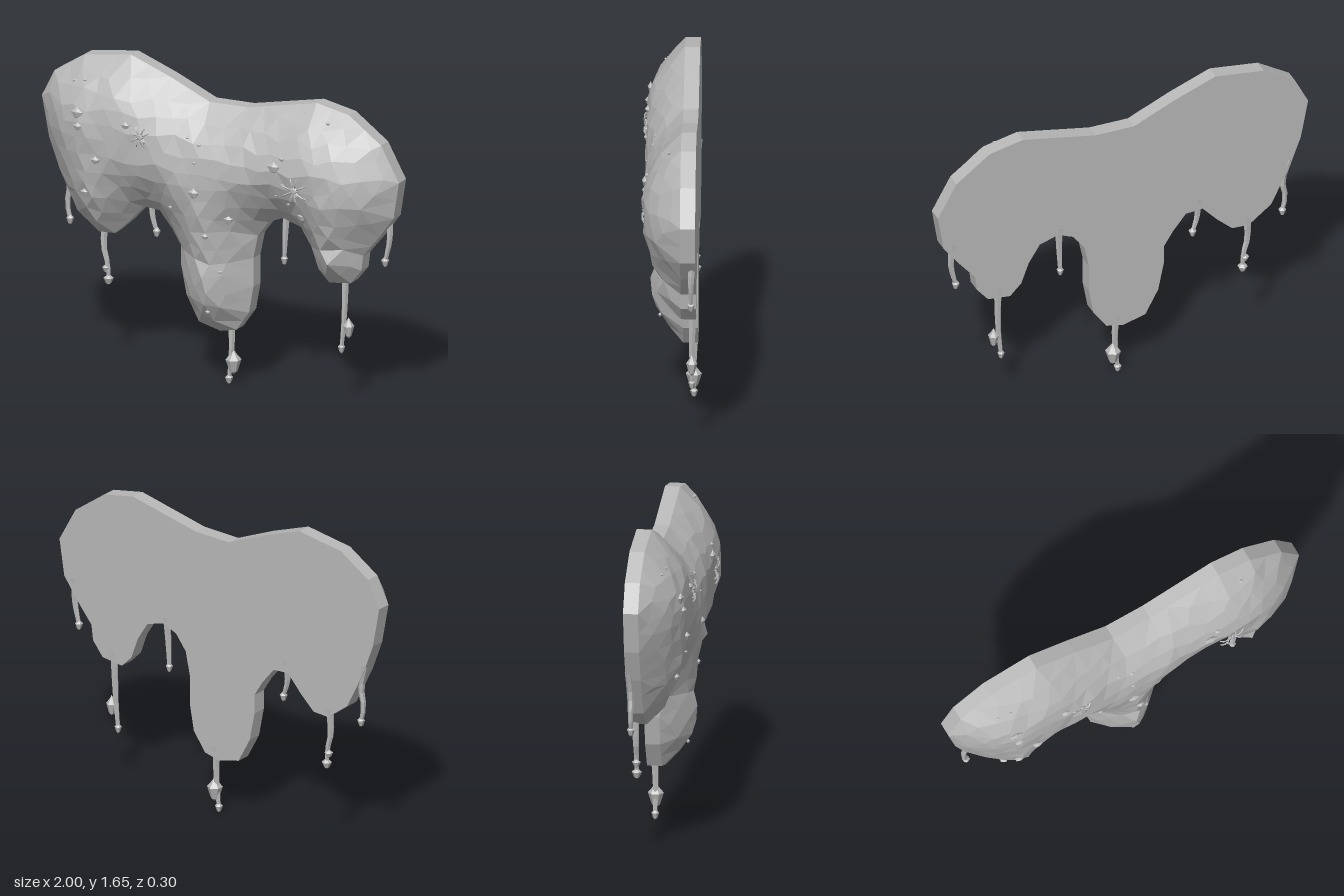
import * as THREE from 'three';

const moss = new THREE.MeshStandardMaterial({ color: 0xb8b8b8, flatShading: true });
moss.name = 'plain grey';

// Outline of the hanging clump, clockwise from the left
const outline = [
  [-1, 1.36], [-.93, 1.5], [-.76, 1.61], [-.5, 1.65], [-.28, 1.57], [-.06, 1.475], [.15, 1.48], [.54, 1.565],
  [.72, 1.53], [.9, 1.4], [1, 1.22], [.97, 1.03], [.89, .92], [.8, .81], [.79, .73], [.73, .655], [.61, .64],
  [.55, .7], [.51, .81], [.45, .905], [.35, .935], [.27, .9], [.21, .82], [.185, .7], [.185, .55], [.16, .41],
  [.09, .31], [0, .29], [-.12, .32], [-.19, .45], [-.22, .6], [-.22, .7], [-.27, .78], [-.34, .865], [-.43, .87],
  [-.51, .78], [-.59, .705], [-.68, .7], [-.8, .79], [-.9, .99], [-.96, 1.15],
].map(([x, y]) => new THREE.Vector2(x, y));
const BACK = -.14, RIM = -.065;

let seed = 7;
const rand = () => (seed = (seed * 16807) % 2147483647) / 2147483647 - .5;

// Signed distance to the outline, positive inside
function inset(x, y) {
  let best = 9, inside = false;
  outline.forEach((a, i) => {
    const b = outline[(i + 1) % outline.length];
    const dx = b.x - a.x, dy = b.y - a.y;
    const t = THREE.MathUtils.clamp(((x - a.x) * dx + (y - a.y) * dy) / (dx * dx + dy * dy), 0, 1);
    best = Math.min(best, Math.hypot(x - a.x - t * dx, y - a.y - t * dy));
    if ((a.y > y) !== (b.y > y) && x < a.x + dx * (y - a.y) / dy) inside = !inside;
  });
  return inside ? best : -best;
}
const surfaceZ = (x, y) => {
  const t = THREE.MathUtils.clamp(inset(x, y) / .33, 0, 1);
  return RIM + .19 * Math.sin(t * Math.PI / 2) ** .85;
};

// Delaunay triangulation by point insertion
function triangulate(pts) {
  const n = pts.length;
  const all = [...pts, { x: -20, y: -20 }, { x: 20, y: -20 }, { x: 0, y: 30 }];
  const make = (i, j, k) => {
    const a = all[i], b = all[j], c = all[k];
    const bx = b.x - a.x, by = b.y - a.y, cx = c.x - a.x, cy = c.y - a.y, d = 2 * (bx * cy - by * cx);
    if (Math.abs(d) < 1e-10) return { v: [i, j, k], x: 0, y: 0, r: 1e9 };
    const b2 = bx * bx + by * by, c2 = cx * cx + cy * cy;
    const ux = (cy * b2 - by * c2) / d, uy = (bx * c2 - cx * b2) / d;
    return { v: [i, j, k], x: a.x + ux, y: a.y + uy, r: ux * ux + uy * uy };
  };
  let tris = [make(n, n + 1, n + 2)];
  for (let p = 0; p < n; p++) {
    const edges = new Map();
    tris = tris.filter((t) => {
      if ((all[p].x - t.x) ** 2 + (all[p].y - t.y) ** 2 >= t.r) return true;
      t.v.forEach((i, k) => {
        const j = t.v[(k + 1) % 3];
        if (!edges.delete(j + '_' + i)) edges.set(i + '_' + j, [i, j]);
      });
      return false;
    });
    edges.forEach(([i, j]) => tris.push(make(i, j, p)));
  }
  return tris.map((t) => t.v).filter((v) => Math.max(...v) < n);
}

// Faceted swelling front
function frontGeometry() {
  const pts = [];
  outline.forEach((a, i) => {
    const b = outline[(i + 1) % outline.length], steps = Math.ceil(a.distanceTo(b) / .12);
    for (let s = 0; s < steps; s++) {
      const p = a.clone().lerp(b, s / steps);
      pts.push({ x: p.x + rand() * 1e-5, y: p.y + rand() * 1e-5, z: RIM });
    }
  });
  for (let row = 0; row < 18; row++) for (let col = 0; col < 24; col++) {
    const x = -1 + (col + (row % 2) / 2) * .088 + rand() * .035, y = .3 + row * .078 + rand() * .035;
    if (inset(x, y) > .035) pts.push({ x, y, z: surfaceZ(x, y) + rand() * .012 });
  }
  const index = triangulate(pts).filter((v) => {
    const [a, b, c] = v.map((i) => pts[i]);
    return inset((a.x + b.x + c.x) / 3, (a.y + b.y + c.y) / 3) > 0;
  }).flat();
  const g = new THREE.BufferGeometry();
  g.setAttribute('position', new THREE.Float32BufferAttribute(pts.flatMap((p) => [p.x, p.y, p.z]), 3));
  g.setIndex(index);
  g.computeVertexNormals();
  return g;
}

const budGeometry = new THREE.LatheGeometry(
  [[0, -1], [.5, -.75], [1, .2], [.45, .6], [0, 1]].map(([x, y]) => new THREE.Vector2(x, y)), 6);

export function createModel() {
  const model = new THREE.Group();
  model.name = 'hangingClump';
  const add = (parent, name, geometry) => {
    const m = new THREE.Mesh(geometry, moss);
    m.name = name;
    parent.add(m);
    return m;
  };
  const addBud = (parent, name, x, y, z, r, h = r) => {
    const b = add(parent, name, budGeometry);
    b.position.set(x, y, z);
    b.scale.set(r, h, r);
    return b;
  };

  // Flat backing slab and swelling front
  const slab = add(model, 'backSlab', new THREE.ExtrudeGeometry(new THREE.Shape(outline),
    { depth: RIM - BACK, bevelEnabled: false }));
  slab.position.z = BACK;
  add(model, 'swollenFront', frontGeometry());

  // Dangling roots: path points, tip radius, then an optional side bulb [x, y, r, h]
  const roots = [
    [[[-.9, 1.03], [-.87, .9], [-.885, .8], [-.87, .72]], .02],
    [[[-.68, .74], [-.68, .6], [-.66, .52], [-.655, .44]], .026, [-.667, .495, .022, .025]],
    [[[-.41, .93], [-.41, .82], [-.385, .73]], .02],
    [[[.34, .97], [.335, .82], [.33, .7]], .018],
    [[[.915, 1.03], [.92, .9], [.895, .78]], .02],
    [[[.67, .7], [.665, .45], [.65, .29]], .018, [.69, .4, .028, .055]],
    [[[.03, .36], [.035, .2], [.02, .03]], .02, [.045, .12, .04, .065]],
  ];
  roots.forEach(([path, tip, bulb]) => {
    const root = new THREE.Group();
    root.name = 'danglingRoot';
    model.add(root);
    const z = -.118;
    const curve = new THREE.CatmullRomCurve3(path.map(([x, y], i) => new THREE.Vector3(x, y, i ? z : z - .006)));
    const g = new THREE.TubeGeometry(curve, 6, .021, 6), pos = g.attributes.position, v = new THREE.Vector3();
    // Taper each ring towards the tip
    for (let i = 0; i < pos.count; i++) {
      const t = Math.floor(i / 7) / 6, c = curve.getPointAt(t);
      v.fromBufferAttribute(pos, i).sub(c).multiplyScalar(1 - .5 * t).add(c);
      pos.setXYZ(i, v.x, v.y, v.z);
    }
    g.computeVertexNormals();
    add(root, 'rootStem', g);
    const [ex, ey] = path[path.length - 1];
    addBud(root, 'rootTip', ex, ey, z, tip, 0.03);
    if (bulb) addBud(root, 'rootBulb', bulb[0], bulb[1], z, bulb[2], bulb[3]);
  });

  // Small buds on the front
  [[-.71, 1.365, .038], [-.7, 1.3, .026], [-.435, 1.345, .025], [-.6, 1.14, .026], [-.68, .95, .026],
    [.395, 1.26, .038], [.435, 1.305, .015], [-.05, 1.055, .033], [.11, .925, .03], [.52, 1, .03], [0, .83, .02],
    [-.77, 1.5, .01], [-.705, 1.515, .01], [.635, 1.49, .012], [-.11, 1.32, .012], [-.04, 1.295, .014],
    [-.05, 1.21, .01], [.39, 1.1, .01], [-.21, .94, .012], [.06, .64, .012], [-.01, .42, .014], [.45, 1.06, .01],
  ].forEach(([x, y, r]) => {
    const b = addBud(model, 'smallBud', x, y, surfaceZ(x, y), r, r * .8);
    b.scale.z = Math.min(r * .7, .015);
  });

  // Two crawlers with splayed legs
  [[-.35, 1.3, .055], [.51, 1.155, .072]].forEach(([x, y, reach]) => {
    const crawler = new THREE.Group();
    crawler.name = 'crawler';
    crawler.position.set(x, y, surfaceZ(x, y) + .004);
    model.add(crawler);
    [[0, 0, .022], [.012, -.022, .017]].forEach(([bx, by, r]) => {
      const body = add(crawler, 'crawlerBody', new THREE.IcosahedronGeometry(r, 0));
      body.position.set(bx, by, 0);
      body.scale.z = .5;
    });
    for (let i = 0; i < 8; i++) {
      const a = (i + .5) * Math.PI / 4 + rand() * .3, c = Math.cos(a), s = Math.sin(a);
      const leg = new THREE.CatmullRomCurve3([[.2, 0], [.6, .012], [1, 0]].map(([k, z]) =>
        new THREE.Vector3(c * k * reach, s * k * reach, z)));
      add(crawler, 'crawlerLeg', new THREE.TubeGeometry(leg, 3, .004, 4));
    }
  });
  return model;
}
